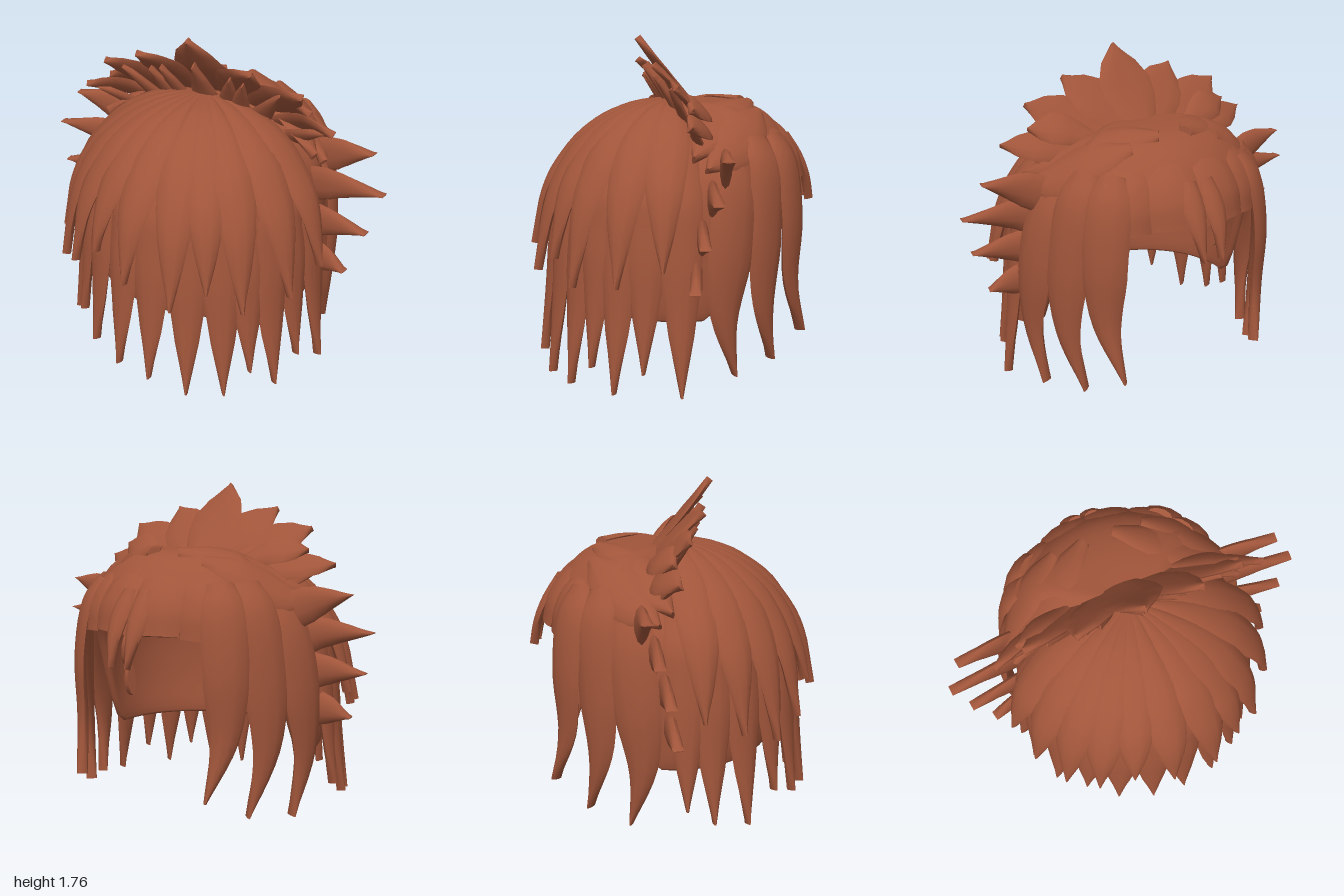
import * as THREE from 'three';
import { toCreasedNormals } from 'three/addons/utils/BufferGeometryUtils.js';

const V = (x, y, z) => new THREE.Vector3(x, y, z);

// linear lookup in a list of [key, value] pairs with falling keys
function lookup(table, key) {
  if (key >= table[0][0]) return table[0][1];
  for (let i = 1; i < table.length; i++) {
    const [k0, v0] = table[i - 1], [k1, v1] = table[i];
    if (key >= k1) return v0 + (v1 - v0) * (k0 - key) / (k0 - k1);
  }
  return table[table.length - 1][1];
}

// head radius by height: upper layer, lower layer
const UPPER = [[1.415, 0.03], [1.395, 0.2], [1.355, 0.32], [1.3, 0.42], [1.2, 0.54], [1.05, 0.65], [0.9, 0.71], [0.55, 0.78]];
const LOWER = [[1.3, 0.36], [1.2, 0.48], [1.0, 0.61], [0.7, 0.665], [0.4, 0.69], [0, 0.735]];
// cap cross-sections as [radius, height]: crown, outer wall, rim, inner wall
const CAP_REAR = [[0, 1.4], [0.2, 1.375], [0.4, 1.275], [0.51, 1.18], [0.6, 1.04], [0.64, 0.85], [0.645, 0.6], [0.63, 0.385],
  [0.615, 0.37], [0.6, 0.385], [0.61, 0.6], [0.605, 0.85], [0.56, 1.04], [0.48, 1.17], [0.35, 1.27], [0, 1.36]];
const CAP_BROW = [[0, 1.41], [0.25, 1.425], [0.4, 1.405], [0.5, 1.36], [0.58, 1.28], [0.63, 1.2], [0.66, 1.12], [0.665, 1.04],
  [0.645, 1.025], [0.625, 1.045], [0.6, 1.11], [0.555, 1.19], [0.49, 1.27], [0.39, 1.33], [0.25, 1.36], [0, 1.36]];

// lens-section plate swept along a path, wide face turned towards `out`
function lockGeometry(path, widths, width, thick, out, bow = 0.7) {
  const curve = new THREE.CatmullRomCurve3(path, false, 'centripetal');
  const n = 20, sides = 10, pos = [], index = [];
  for (let i = 0; i <= n; i++) {
    const t = i / n, p = curve.getPoint(t), T = curve.getTangent(t);
    const N = out ? out.clone() : V(p.x, Math.max(0, (p.y - 0.85) * 0.9), p.z);
    N.addScaledVector(T, -N.dot(T)).normalize();
    const B = T.clone().cross(N);
    const f = t * (widths.length - 1), k = Math.min(Math.floor(f), widths.length - 2);
    const half = width / 2 * (widths[k] + (widths[k + 1] - widths[k]) * (f - k));
    for (let j = 0; j < sides; j++) {
      const a = j / sides * Math.PI * 2, u = Math.cos(a) * half;
      const q = p.clone().addScaledVector(B, u).addScaledVector(N, Math.sin(a) * thick / 2 - u * u * bow);
      pos.push(q.x, q.y, q.z);
    }
  }
  for (let i = 0; i < n; i++) for (let j = 0; j < sides; j++) {
    const a = i * sides + j, b = i * sides + (j + 1) % sides;
    index.push(a, b + sides, b, a, a + sides, b + sides);
  }
  for (let j = 1; j < sides - 1; j++) {
    index.push(0, j, j + 1);
    index.push(n * sides, n * sides + j + 1, n * sides + j);
  }
  const g = new THREE.BufferGeometry();
  g.setAttribute('position', new THREE.Float32BufferAttribute(pos, 3));
  g.setIndex(index);
  return toCreasedNormals(g, 0.9);
}

// hollow cap open at the bottom, shallower on the +z half, with the rim raised over the face
function capGeometry() {
  const curveOf = list => new THREE.CatmullRomCurve3(list.map(([r, y]) => V(r, y, 0)));
  const rear = curveOf(CAP_REAR), brow = curveOf(CAP_BROW);
  const nu = 72, nv = 60, pos = [], index = [];
  for (let i = 0; i <= nu; i++) {
    const phi = i / nu * Math.PI * 2, c = Math.cos(phi);
    const w = THREE.MathUtils.smoothstep(-c, 0.1, 0.6);
    for (let j = 0; j <= nv; j++) {
      const p = rear.getPoint(j / nv).lerp(brow.getPoint(j / nv), w);
      pos.push(p.x * Math.sin(phi), p.y, p.x * c * (c > 0 ? 0.86 : 1));
    }
  }
  for (let i = 0; i < nu; i++) for (let j = 0; j < nv; j++) {
    const a = i * (nv + 1) + j, b = a + nv + 1;
    index.push(a, a + 1, b, b, a + 1, b + 1);
  }
  const g = new THREE.BufferGeometry();
  g.setAttribute('position', new THREE.Float32BufferAttribute(pos, 3));
  g.setIndex(index);
  g.computeVertexNormals();
  return g;
}

export function createModel() {
  const model = new THREE.Group();
  model.name = 'hair';
  const mat = new THREE.MeshStandardMaterial({ color: 0xa0553a, side: THREE.DoubleSide });
  mat.name = 'auburn';
  const groups = {};
  const add = (group, name, geometry) => {
    if (!groups[group]) {
      groups[group] = new THREE.Group();
      groups[group].name = group;
      model.add(groups[group]);
    }
    const m = new THREE.Mesh(geometry, mat);
    m.name = name;
    groups[group].add(m);
  };
  // the same plate on both sides
  const pair = (group, name, pts, widths, width, thick, out, bow) => {
    for (const s of [1, -1]) {
      const o = out && V(out[0] * s, out[1], out[2]);
      add(group, (s > 0 ? 'left ' : 'right ') + name,
        lockGeometry(pts.map(([x, y, z]) => V(x * s, y, z)), widths, width, thick, o, bow));
    }
  };
  // path down the head at one bearing, the head being slightly wider than deep
  const hang = (deg, top, tip, table) => {
    const phi = THREE.MathUtils.degToRad(deg), pts = [];
    for (let i = 0; i <= 9; i++) {
      const y = top - (top - tip) * Math.pow(i / 9, 1.7);
      const r = lookup(table, y);
      pts.push(V(Math.sin(phi) * r * 1.03, y, Math.cos(phi) * r));
    }
    return pts;
  };

  add('cap', 'cap', capGeometry());

  // long locks below, shorter layer over them
  const lower = [[-84, 0.2], [-73, 0.12], [-58, 0.08], [-42, 0.2], [-27, 0.12], [-11, 0.08], [4, 0.06],
    [20, 0.01], [35, 0.01], [46, 0.13], [57, 0.02], [69, 0.14], [84, 0.03]];
  for (const [deg, tip] of lower)
    add('lowerLayer', 'lower lock', lockGeometry(hang(deg, 1.28, tip, LOWER), [0.7, 0.85, 0.95, 1, 1, 0.88, 0.56, 0.07], 0.22, 0.05));
  const upper = [[-78, 0.68], [-63, 0.6], [-48, 0.53], [-34, 0.6], [-20, 0.74], [-4, 0.64], [15, 0.56],
    [28, 0.66], [41, 0.55], [60, 0.58], [77, 0.67]];
  for (const [deg, tip] of upper)
    add('upperLayer', 'upper lock', lockGeometry(hang(deg, 1.415, tip, UPPER), [0.2, 0.55, 0.92, 1, 0.92, 0.73, 0.45, 0.07], 0.23, 0.05));

  // three curved locks framing each side of the face
  const side = [0.6, 0.9, 1, 1, 0.95, 0.7, 0.38, 0.07];
  pair('faceLocks', 'rear face lock', [[0.53, 1.23, -0.2], [0.63, 1.05, -0.21], [0.69, 0.75, -0.18], [0.69, 0.42, -0.15], [0.65, 0.09, -0.21]], side, 0.25, 0.06);
  pair('faceLocks', 'middle face lock', [[0.46, 1.27, -0.35], [0.54, 1.13, -0.39], [0.6, 0.8, -0.38], [0.6, 0.45, -0.37], [0.53, 0.12, -0.43]], side, 0.24, 0.06);
  pair('faceLocks', 'front face lock', [[0.38, 1.27, -0.46], [0.44, 1.14, -0.52], [0.48, 0.85, -0.55], [0.47, 0.52, -0.55], [0.41, 0.22, -0.625]], side, 0.23, 0.06);

  // short fringe along the brow
  const short = [0.7, 0.95, 1, 0.8, 0.45, 0.08], blunt = [0.6, 0.9, 1, 1, 0.98, 0.92];
  pair('fringe', 'centre fringe lock', [[0.05, 1.23, -0.62], [0.06, 1.12, -0.69], [0.06, 1.0, -0.74], [0.05, 0.86, -0.77]], short, 0.12, 0.05);
  pair('fringe', 'brow lock', [[0.1, 1.36, -0.4], [0.12, 1.27, -0.56], [0.13, 1.15, -0.65], [0.14, 1.02, -0.68]], blunt, 0.29, 0.045);
  pair('fringe', 'temple lock', [[0.27, 1.33, -0.38], [0.34, 1.24, -0.5], [0.37, 1.12, -0.56], [0.37, 1.0, -0.58]], blunt, 0.25, 0.045);

  // broad leaves swept from the parting back over the sides
  const leaf = [0.3, 0.75, 1, 1, 0.75, 0.08];
  pair('sweptLocks', 'upper swept lock', [[0.08, 1.41, -0.4], [0.26, 1.39, -0.28], [0.46, 1.3, -0.14], [0.63, 1.19, 0]], leaf, 0.24, 0.05, [0.5, 1, -0.15]);
  pair('sweptLocks', 'lower swept lock', [[0.24, 1.37, -0.41], [0.4, 1.32, -0.33], [0.54, 1.23, -0.21], [0.66, 1.14, -0.06]], leaf, 0.25, 0.05, [0.8, 0.8, -0.3]);

  // crest fan leaning back over the crown
  const fan = [0.5, 0.75, 0.97, 1, 0.68, 0.04], lean = V(0, -0.62, 0.78);
  add('crest', 'centre crest leaf', lockGeometry([V(0, 1.36, -0.14), V(0, 1.55, 0.03), V(0, 1.76, 0.19)], fan, 0.31, 0.04, lean, 0.3));
  add('crest', 'small centre crest spike', lockGeometry([V(0.01, 1.38, 0), V(0.01, 1.48, 0.06), V(0.01, 1.62, 0.15)], [1, 0.9, 0.55, 0.05], 0.17, 0.05, lean));
  const crest = [
    [[0.09, 1.36, -0.12], [0.2, 1.51, 0.02], [0.33, 1.63, 0.15], 0.27],
    [[0.2, 1.34, -0.12], [0.39, 1.45, -0.01], [0.58, 1.53, 0.08], 0.25],
    [[0.36, 1.3, -0.1], [0.55, 1.34, -0.05], [0.74, 1.35, 0.04], 0.17],
    [[0.3, 1.36, -0.12], [0.46, 1.42, -0.06], [0.6, 1.42, 0.01], 0.18]];
  for (const [a, b, c, w] of crest) pair('crest', 'crest leaf', [a, b, c], fan, w, 0.04, [0, -0.62, 0.78], 0.3);
  const small = [[[0.14, 1.38, 0], [0.2, 1.57, 0.12]],
    [[0.2, 1.36, 0], [0.27, 1.55, 0.11]], [[0.3, 1.33, -0.02], [0.46, 1.52, 0.08]], [[0.48, 1.25, -0.05], [0.68, 1.34, 0.01]]];
  for (const [a, b] of small) pair('crest', 'small crest spike', [a, b], [1, 0.9, 0.55, 0.05], 0.13, 0.04, [0, -0.62, 0.78]);

  // side spikes
  const spike = [1, 1, 0.95, 0.74, 0.4, 0.03];
  const spikes = [[1.11, 1.22, 0.91, -0.11], [0.98, 1.035, 1, -0.05], [0.8, 0.82, 0.94, 0.0], [0.62, 0.58, 0.85, 0.03]];
  for (const [y0, y1, x1, z] of spikes)
    pair('sideSpikes', 'side spike', [[0.57, y0, z - 0.06], [0.72, (y0 + y1) / 2 + 0.01, z - 0.03], [x1, y1, z]], spike, 0.19, 0.06, [0.15, 0, -1], 0.5);

  return model;
}
